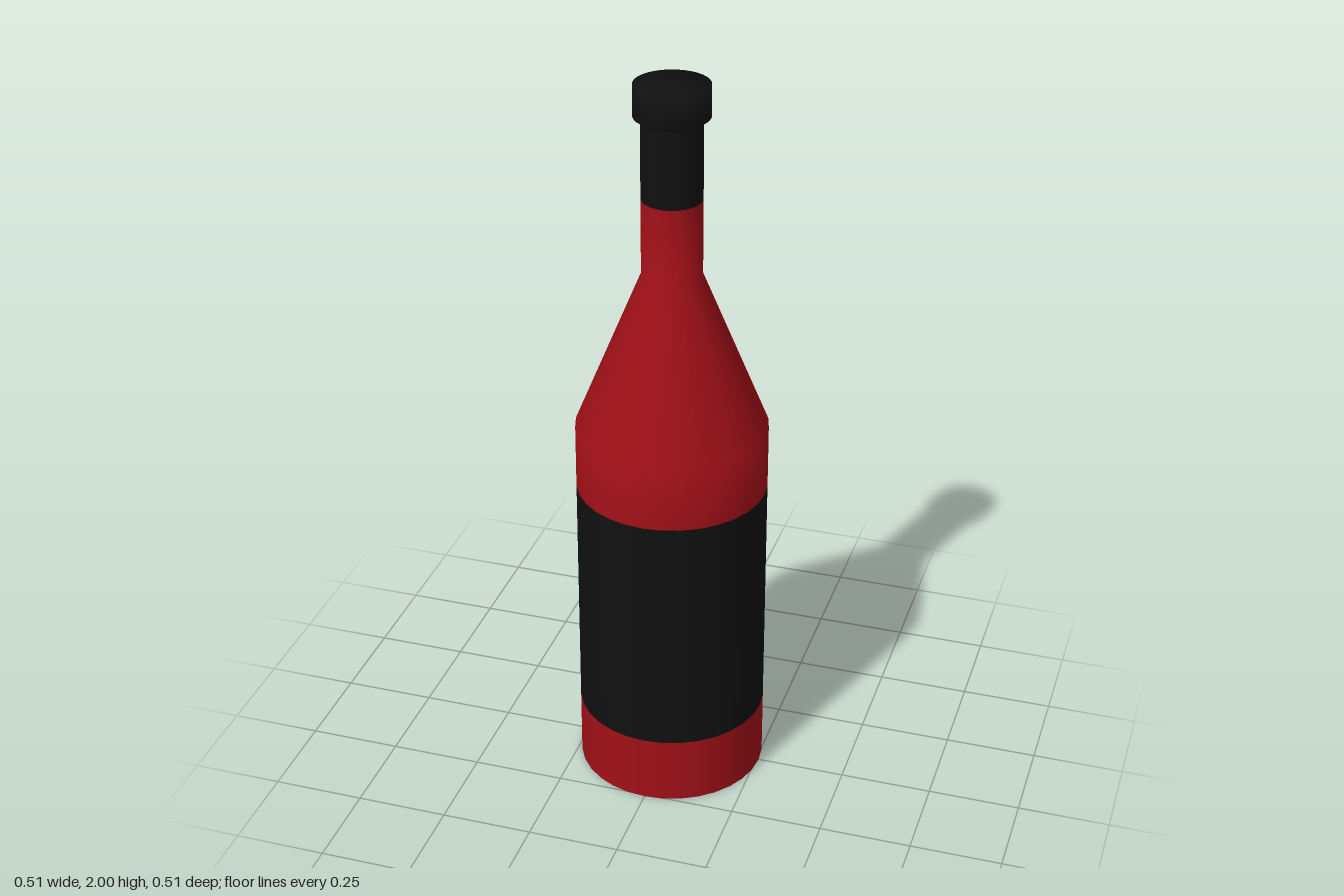
import * as THREE from 'three';

const SIDES = 32;
const RADIUS = 0.257;
const NECK = 0.08;

// Open-bottomed shell, so both faces of the wall show
const glass = new THREE.MeshStandardMaterial({ color: 0xa01018, side: THREE.DoubleSide });
const black = new THREE.MeshStandardMaterial({ color: 0x101010, side: THREE.DoubleSide });

// Turned part from [radius, height] pairs, listed bottom to top
function turned(name, profile, material) {
  const points = profile.map(([r, y]) => new THREE.Vector2(r, y));
  const mesh = new THREE.Mesh(new THREE.LatheGeometry(points, SIDES), material);
  mesh.name = name;
  return mesh;
}

export function createModel() {
  const bottle = new THREE.Group();
  bottle.name = 'bottle';

  bottle.add(
    // Red wall below the label
    turned('base', [[RADIUS, 0], [RADIUS, 0.19]], glass),
    // Label band, flush with the wall
    turned('label', [[RADIUS, 0.19], [RADIUS, 0.87]], black),
    // Upper body, sloping shoulder and neck
    turned('shoulderAndNeck', [[RADIUS, 0.87], [RADIUS, 1.05], [NECK, 1.485], [NECK, 1.695]], glass),
    // Foil sleeve around the neck
    turned('foil', [[NECK, 1.695], [NECK, 1.905]], black),
    // Wider cap, closed on top
    turned('cap', [[NECK, 1.905], [0.099, 1.917], [0.099, 2], [0, 2]], black),
  );
  return bottle;
}
